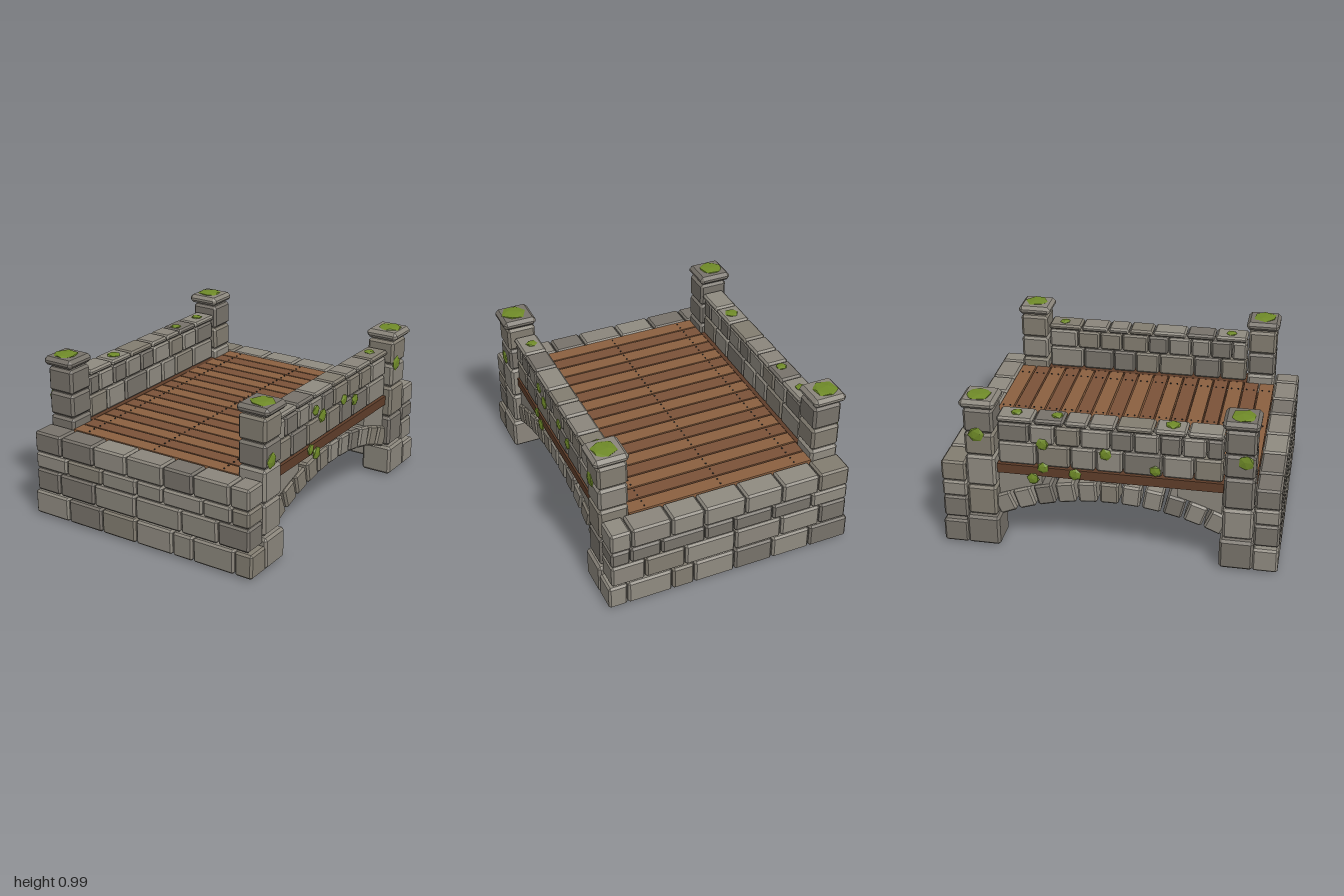
import * as THREE from 'three';
import { ConvexGeometry } from 'three/addons/geometries/ConvexGeometry.js';

const mat = (color) => new THREE.MeshStandardMaterial({ color, flatShading: true });
const STONES = [0x8f8a80, 0x827c70, 0x8a857b, 0x77726a].map(mat);
const PLANKS = [0x8a6040, 0x7a5238].map(mat);
const BEAM = mat(0x5e3d29);
const NAIL = mat(0x33302c);
const MOSS = mat(0x6f8a28);

let seed = 7;
const rand = () => (seed = (seed * 16807) % 2147483647) / 2147483647;

// Box with chamfered edges
function chamferBox(w, h, d, b) {
  const pts = [];
  for (const x of [-1, 1]) for (const y of [-1, 1]) for (const z of [-1, 1]) {
    const [X, Y, Z] = [w / 2, h / 2, d / 2];
    pts.push(
      new THREE.Vector3(x * X, y * (Y - b), z * (Z - b)),
      new THREE.Vector3(x * (X - b), y * Y, z * (Z - b)),
      new THREE.Vector3(x * (X - b), y * (Y - b), z * Z));
  }
  return new ConvexGeometry(pts);
}

function add(parent, name, geometry, material, x = 0, y = 0, z = 0) {
  const mesh = new THREE.Mesh(geometry, material);
  mesh.name = name;
  mesh.position.set(x, y, z);
  parent.add(mesh);
  return mesh;
}

// Chamfered block between two corners
function block(parent, name, [x0, x1], [y0, y1], [z0, z1], material, bevel = 0.012) {
  const m = material || STONES[Math.floor(rand() * STONES.length)];
  return add(parent, name, chamferBox(x1 - x0, y1 - y0, z1 - z0, bevel), m,
    (x0 + x1) / 2, (y0 + y1) / 2, (z0 + z1) / 2);
}

// Plain box between two corners
function timber(parent, name, [x0, x1], [y0, y1], [z0, z1], material = BEAM) {
  return add(parent, name, new THREE.BoxGeometry(x1 - x0, y1 - y0, z1 - z0), material,
    (x0 + x1) / 2, (y0 + y1) / 2, (z0 + z1) / 2);
}

function group(parent, name) {
  const g = new THREE.Group();
  g.name = name;
  parent.add(g);
  return g;
}

// Stone courses of the end walls: height range and joints along x
const END_COURSES = [
  [[0.01, 0.16], [-0.78, -0.52, -0.27, -0.02, 0.24, 0.38, 0.66, 0.78]],
  [[0.17, 0.31], [-0.76, -0.58, -0.32, -0.02, 0.3, 0.55, 0.76]],
  [[0.315, 0.415], [-0.76, -0.52, -0.26, -0.01, 0.175, 0.45, 0.64, 0.76]],
  [[0.42, 0.55], [-0.76, -0.56, -0.32, -0.08, 0.18, 0.385, 0.63, 0.76]],
];

// Stone courses of the parapets: height range, x range and joints along z
const PARAPET_COURSES = [
  [[0.55, 0.69], [0.6, 0.72], [-0.66, -0.43, -0.23, -0.08, 0.08, 0.31, 0.49, 0.66]],
  [[0.695, 0.815], [0.6, 0.72], [-0.66, -0.47, -0.32, -0.17, 0.005, 0.14, 0.29, 0.42, 0.56, 0.66]],
  [[0.825, 0.86], [0.585, 0.73], [-0.66, -0.44, -0.26, -0.12, 0.04, 0.26, 0.45, 0.66]],
];

const mirrored = (s, [a, b]) => (s > 0 ? [a, b] : [-b, -a]);

function endWall(root, s) {
  const g = group(root, s > 0 ? 'frontWall' : 'backWall');
  for (const [ys, joints] of END_COURSES)
    for (let i = 1; i < joints.length; i++)
      block(g, 'wallStone', [joints[i - 1] + 0.003, joints[i] - 0.003], ys, mirrored(s, [0.85, 1]));
}

function pillar(root, sx, sz) {
  const g = group(root, 'pillar');
  const put = (name, x, y, z, bevel) => block(g, name, mirrored(sx, x), y, mirrored(sz, z), null, bevel);
  put('pillarFoot', [0.58, 0.78], [0.01, 0.2], [0.655, 0.855], 0.015);
  for (const y of [[0.205, 0.4], [0.405, 0.605], [0.61, 0.755], [0.76, 0.91]])
    put('pillarStone', [0.582, 0.762], y, [0.668, 0.845], 0.015);
  put('pillarCap', [0.575, 0.785], [0.92, 0.975], [0.65, 0.86], 0.02);
}

function sideWall(root, s) {
  const g = group(root, s > 0 ? 'leftSide' : 'rightSide');
  // parapet
  for (const [ys, xs, joints] of PARAPET_COURSES)
    for (let i = 1; i < joints.length; i++)
      block(g, 'parapetStone', mirrored(s, xs), ys, [joints[i - 1] + 0.003, joints[i] - 0.003]);
  // arch ring
  const R = 1.6, step = 0.0808;
  for (let i = -5; i <= 5; i++) {
    const a = i * step;
    const stone = add(g, 'archStone', chamferBox(0.135, 0.13, 0.112, 0.012),
      STONES[Math.floor(rand() * 4)], s * 0.662, 0.41 - R * (1 - Math.cos(a)), R * Math.sin(a));
    stone.rotation.x = a;
  }
  // filler stones above the arch ends
  for (const e of [1, -1]) {
    const shape = new THREE.Shape([[0.66, 0.34], [0.66, 0.485], [0.4, 0.485], [0.4, 0.43]]
      .map(([z, y]) => new THREE.Vector2(-e * z, y)));
    const geo = new THREE.ExtrudeGeometry(shape, { depth: 0.11, bevelEnabled: false });
    geo.translate(0, 0, -0.055).rotateY(Math.PI / 2);
    add(g, 'spandrelStone', geo, STONES[2], s * 0.658);
  }
  timber(g, 'edgeBeam', mirrored(s, [0.585, 0.725]), [0.488, 0.547], [-0.665, 0.665]);
}

function deck(root) {
  const g = group(root, 'deck');
  const nail = new THREE.CylinderGeometry(0.005, 0.005, 0.006, 6);
  for (let i = 0; i < 17; i++) {
    const z = -0.8 + i * 0.1;
    timber(g, 'plank', [-0.583, 0.583], [0.515, 0.547], [z - 0.045, z + 0.045], PLANKS[i % 2]);
    for (const x of [-0.48, 0, 0.48])
      for (const dz of [-0.022, 0.022]) add(g, 'nail', nail, NAIL, x, 0.549, z + dz);
  }
  for (let i = -2; i <= 2; i++)
    timber(g, 'stringer', [i * 0.24 - 0.038, i * 0.24 + 0.038], [0.425, 0.515], [-0.845, 0.845]);
  for (const z of [-0.4, 0, 0.4])
    timber(g, 'crossBeam', [-0.59, 0.59], [0.45, 0.514], [z - 0.04, z + 0.04]);
}

// Flattened low-poly tuft, facing along one axis
function moss(root, x, y, z, r, axis) {
  const m = add(root, 'moss', new THREE.IcosahedronGeometry(r, 0).rotateY(rand() * 6).rotateX(rand()), MOSS, x, y, z);
  m.scale[axis] = 0.012 / r;
}

export function createModel() {
  const root = new THREE.Group();
  root.name = 'bridge';
  for (const s of [1, -1]) {
    endWall(root, s);
    sideWall(root, s);
    for (const sz of [1, -1]) {
      pillar(root, s, sz);
      moss(root, s * 0.69, 0.976, sz * 0.76, 0.08, 'y');
      moss(root, s * 0.675, 0.012, sz * 0.86, 0.04, 'y');
    }
  }
  deck(root);

  // tufts on the parapet tops: x, z, radius
  for (const [x, z, r] of [[-0.655, -0.55, 0.037], [-0.655, -0.31, 0.037], [-0.65, 0.36, 0.047],
    [0.65, -0.56, 0.037], [0.65, 0.55, 0.037]]) moss(root, x, 0.862, z, r, 'y');

  // tufts on the side faces: x, y, z, radius
  for (const [x, y, z, r] of [
    [0.722, 0.75, 0.23, 0.037], [0.722, 0.69, 0.15, 0.045], [0.722, 0.705, -0.11, 0.037],
    [0.722, 0.66, -0.25, 0.04], [0.726, 0.525, 0.29, 0.037], [0.728, 0.48, 0.22, 0.045],
    [0.762, 0.65, 0.78, 0.05], [0.762, 0.76, -0.72, 0.05],
    [-0.722, 0.7, -0.39, 0.04], [-0.724, 0.545, -0.39, 0.037], [-0.726, 0.52, -0.2, 0.04],
    [-0.722, 0.67, -0.02, 0.04], [-0.722, 0.59, 0.27, 0.037], [-0.728, 0.47, -0.45, 0.04],
    [-0.762, 0.75, -0.77, 0.05], [-0.762, 0.72, 0.79, 0.05],
  ]) moss(root, x, y, z, r, 'x');
  return root;
}
